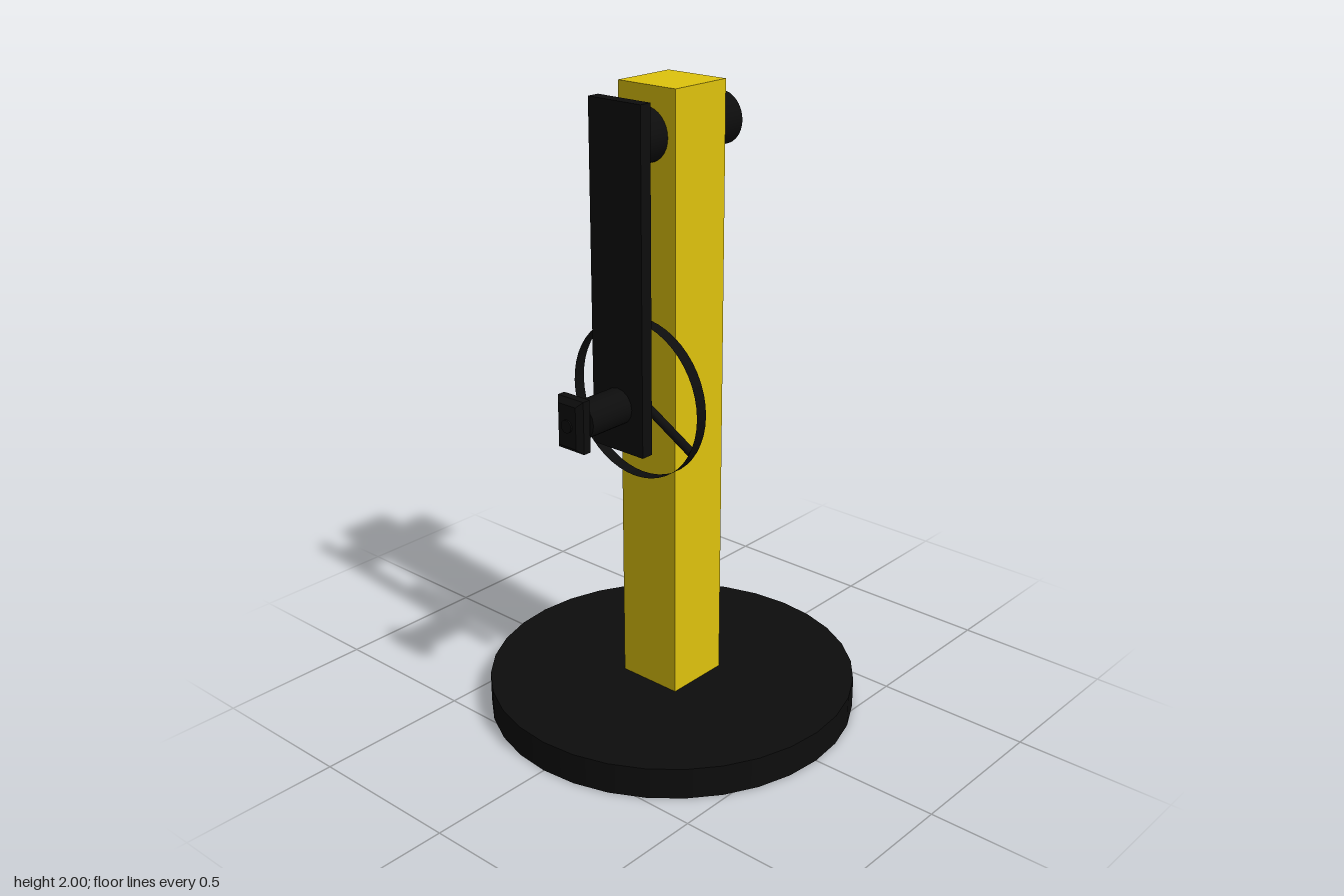
import * as THREE from 'three';

export function createModel() {
  const model = new THREE.Group();
  const black = new THREE.MeshStandardMaterial({ color: 0x0d0d0d });
  const blackThin = new THREE.MeshStandardMaterial({ color: 0x0d0d0d, side: THREE.DoubleSide });
  const yellow = new THREE.MeshStandardMaterial({ color: 0xe0c40d });

  function add(name, geometry, material, x, y, z, parent = model) {
    const mesh = new THREE.Mesh(geometry, material);
    mesh.name = name;
    mesh.position.set(x, y, z);
    parent.add(mesh);
    return mesh;
  }
  // Cylinder lying along z, from z0 to z1
  function rod(name, radius, z0, z1, y, sides = 32) {
    const geometry = new THREE.CylinderGeometry(radius, radius, z1 - z0, sides).rotateX(Math.PI / 2);
    return add(name, geometry, black, 0, y, (z0 + z1) / 2);
  }

  // Base and post
  add('base', new THREE.CylinderGeometry(0.585, 0.585, 0.1, 32), black, 0, 0.05, 0);
  add('post', new THREE.BoxGeometry(0.216, 1.9, 0.216), yellow, 0, 1.05, 0);

  // Pivot through the post, with the hanging arm
  rod('pivotPin', 0.08, -0.22, 0.21, 1.86);
  add('arm', new THREE.BoxGeometry(0.196, 1.035, 0.04), black, 0, 1.457, 0.22);

  // Wheel behind the arm: thin rim and three spokes
  const axisY = 1.08, rimRadius = 0.245;
  const wheel = new THREE.Group();
  wheel.name = 'wheel';
  wheel.position.set(0, axisY, 0.15);
  model.add(wheel);
  const rim = new THREE.CylinderGeometry(rimRadius, rimRadius, 0.04, 48, 1, true).rotateX(Math.PI / 2);
  add('rim', rim, blackThin, 0, 0, 0, wheel);
  for (let i = 0; i < 3; i++) {
    const spoke = new THREE.CylinderGeometry(0.014, 0.014, 0.24, 12).translate(0, 0.12, 0);
    add('spoke', spoke, black, 0, 0, 0, wheel).rotation.z = (i * Math.PI * 2) / 3;
  }

  // Axle and grip
  rod('axle', 0.02, 0.13, 0.455, axisY, 16);
  rod('grip', 0.056, 0.24, 0.4, axisY, 16);

  // Bevelled knob on the end of the grip
  const bevel = 0.016, w = 0.05 - bevel, h = 0.08 - bevel;
  const outline = new THREE.Shape([
    new THREE.Vector2(-w, -h), new THREE.Vector2(w, -h),
    new THREE.Vector2(w, h), new THREE.Vector2(-w, h),
  ]);
  const knob = new THREE.ExtrudeGeometry(outline, {
    depth: 0.026, bevelEnabled: true, bevelSize: bevel, bevelThickness: bevel, bevelSegments: 1,
  });
  add('knob', knob, black, 0, axisY, 0.392 + bevel);

  return model;
}
